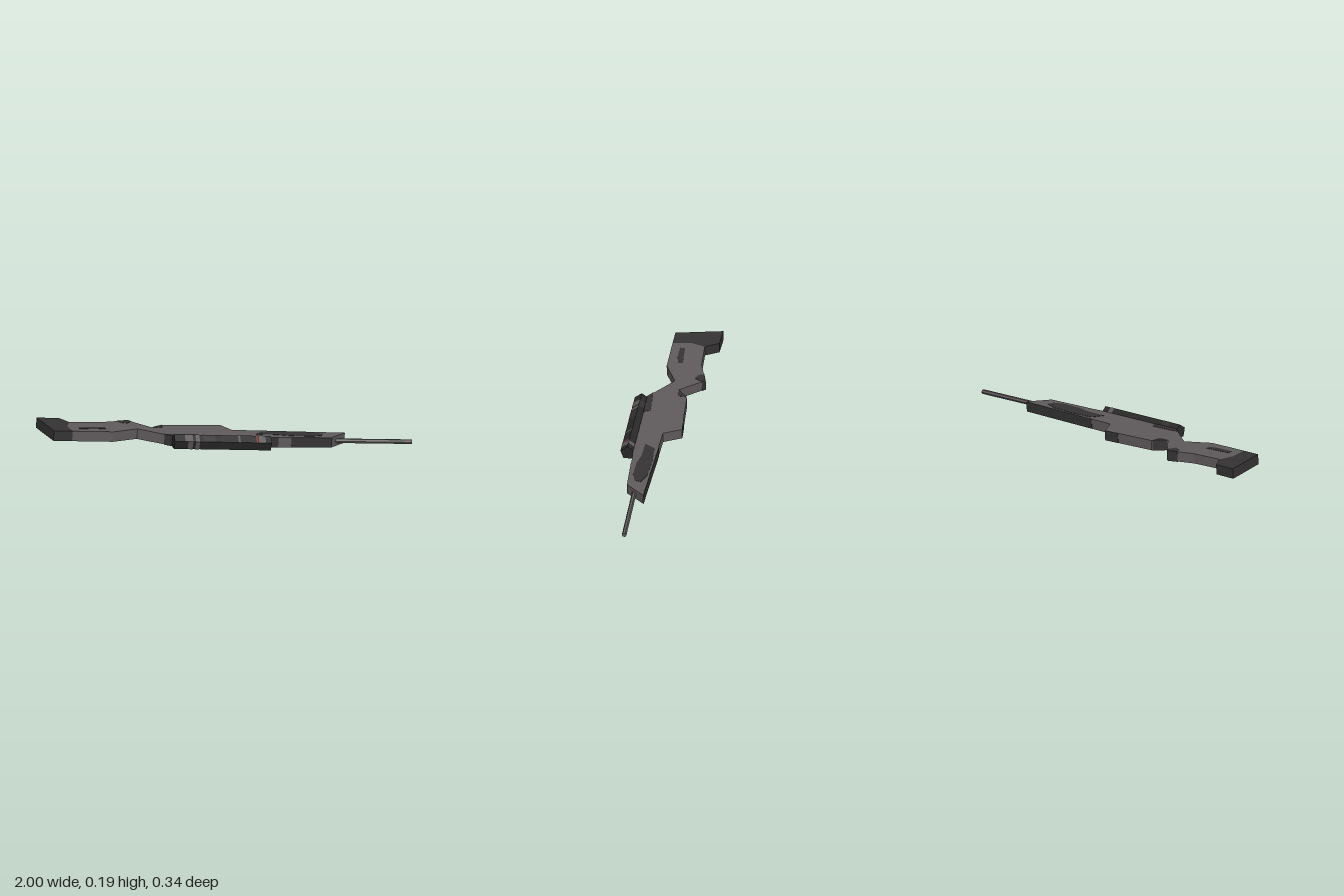
import * as THREE from 'three';

const THICK = 0.055;

function material(name, color) {
  const m = new THREE.MeshStandardMaterial({ color, flatShading: true });
  m.name = name;
  return m;
}

// Plate cut from an outline of [x, z] points, centred on local y = 0
function plate(points, depth) {
  const shape = new THREE.Shape(points.map(([x, z]) => new THREE.Vector2(x, -z)));
  return new THREE.ExtrudeGeometry(shape, { depth, bevelEnabled: false })
    .translate(0, 0, -depth / 2)
    .rotateX(-Math.PI / 2);
}

export function createModel() {
  const gray = material('warm gray', 0x5f5a5c);
  const dark = material('charcoal', 0x343233);
  const black = material('black', 0x2a2929);
  const red = material('red', 0x8c2f2f);

  const model = new THREE.Group();
  model.name = 'rifle';
  // The rifle lies on its side, its muzzle sloping down
  const rifle = new THREE.Group();
  rifle.name = 'rifleBody';
  rifle.position.y = 0.096;
  rifle.rotation.z = -0.0767;
  model.add(rifle);

  const add = (name, geometry, mat, parent = rifle) => {
    const mesh = new THREE.Mesh(geometry, mat);
    mesh.name = name;
    parent.add(mesh);
    return mesh;
  };

  // Stock, receiver and fore-end in one silhouette
  add('stock', plate([
    [-0.83, -0.05], [-0.66, -0.085], [-0.515, -0.15], [-0.39, -0.04],
    [-0.33, -0.105], [-0.025, -0.17], [0.035, -0.085], [0.64, -0.16],
    [0.565, -0.05], [0.22, 0.02], [-0.29, 0.1], [-0.47, 0.005],
    [-0.6, 0.09], [-0.82, 0.125], [-0.845, 0.03],
  ], THICK), gray);

  // Butt pad
  add('buttPad', plate([
    [-1, -0.1], [-0.88, -0.115], [-0.83, -0.05], [-0.845, 0.03],
    [-0.82, 0.125], [-0.92, 0.14],
  ], THICK), dark);

  // Dark patches that show equally on both flat sides
  const patches = {
    buttPatch: [[-0.785, 0.045], [-0.69, 0.025], [-0.645, 0.015], [-0.64, 0.04], [-0.7, 0.06], [-0.785, 0.072]],
    cheekPatch: [[-0.571, -0.127], [-0.515, -0.152], [-0.498, -0.137], [-0.52, -0.09], [-0.555, -0.1]],
    gripPatch: [[-0.387, -0.045], [-0.335, -0.102], [-0.333, -0.055], [-0.355, -0.045]],
    sidePatch: [[-0.29, 0.102], [-0.33, 0.081], [-0.26, 0.065], [-0.16, 0.045], [-0.14, 0.077]],
    foreEndPatch: [[0.19, -0.085], [0.3, -0.11], [0.45, -0.125], [0.52, -0.11], [0.515, -0.075],
      [0.46, -0.05], [0.35, -0.035], [0.27, -0.04], [0.16, -0.025]],
  };
  for (const [name, points] of Object.entries(patches)) add(name, plate(points, THICK + 0.003), dark);

  // Thin dark strips along the narrow edges: start, end, outward z sign
  const strips = [
    [[0.17, -0.102], [0.635, -0.1595], -1],
    [[0.35, -0.0065], [0.565, -0.05], 1],
    [[0.22, 0.02], [0.28, 0.0079], 1],
    [[-0.025, -0.17], [-0.11, -0.152], -1],
  ];
  strips.forEach(([a, b, s]) => {
    const inner = 0.004 * s, outer = 0.002 * s;
    add('edgeStrip', plate([
      [a[0], a[1] - inner], [b[0], b[1] - inner], [b[0], b[1] + outer], [a[0], a[1] + outer],
    ], THICK - 0.001), dark);
  });

  // Barrel and scope point along +x, both turned slightly toward the back
  const rod = (name, length, x, y, z, turn) => {
    const g = new THREE.Group();
    g.name = name;
    g.position.set(x, y, z);
    g.rotation.y = turn;
    g.userData.length = length;
    rifle.add(g);
    return g;
  };
  const barrel = rod('barrel', 0.46, 0.77, -0.001, -0.126, 0.168);
  add('barrelTube', new THREE.CylinderGeometry(0.0125, 0.0125, 0.46, 6).rotateZ(-Math.PI / 2), gray, barrel);

  // Five-sided scope
  const LENGTH = 0.525, R = 0.04, STEP = Math.PI * 0.4;
  const scope = rod('scope', LENGTH, -0.025, 0.004, 0.09, 0.153);
  add('scopeTube', new THREE.CylinderGeometry(R, R, LENGTH, 5, 1, false, -Math.PI / 2)
    .rotateZ(-Math.PI / 2), black, scope);

  // Painted panels on single scope faces: start, end, first face, face count
  const panels = [
    [0.11, 0.19, 0, 1, gray], [0.14, 0.19, 1, 1, gray], [0.22, 0.26, 0, 2, gray],
    [0.12, 0.22, 4, 1, dark], [0.3, 0.42, 0, 1, dark], [0.66, 0.68, 0, 1, gray],
    [0.87, 0.94, 0, 1, gray], [0.88, 0.93, 4, 1, gray], [0.845, 0.86, 0, 1, red],
  ];
  panels.forEach(([from, to, face, count, mat]) => {
    const w = (to - from) * LENGTH;
    const g = new THREE.CylinderGeometry(R + 0.001, R + 0.001, w, count, 1, true,
      -Math.PI / 2 + face * STEP, count * STEP).rotateZ(-Math.PI / 2);
    add('scopePanel', g, mat, scope).position.x = ((from + to) / 2 - 0.5) * LENGTH;
  });

  return model;
}
